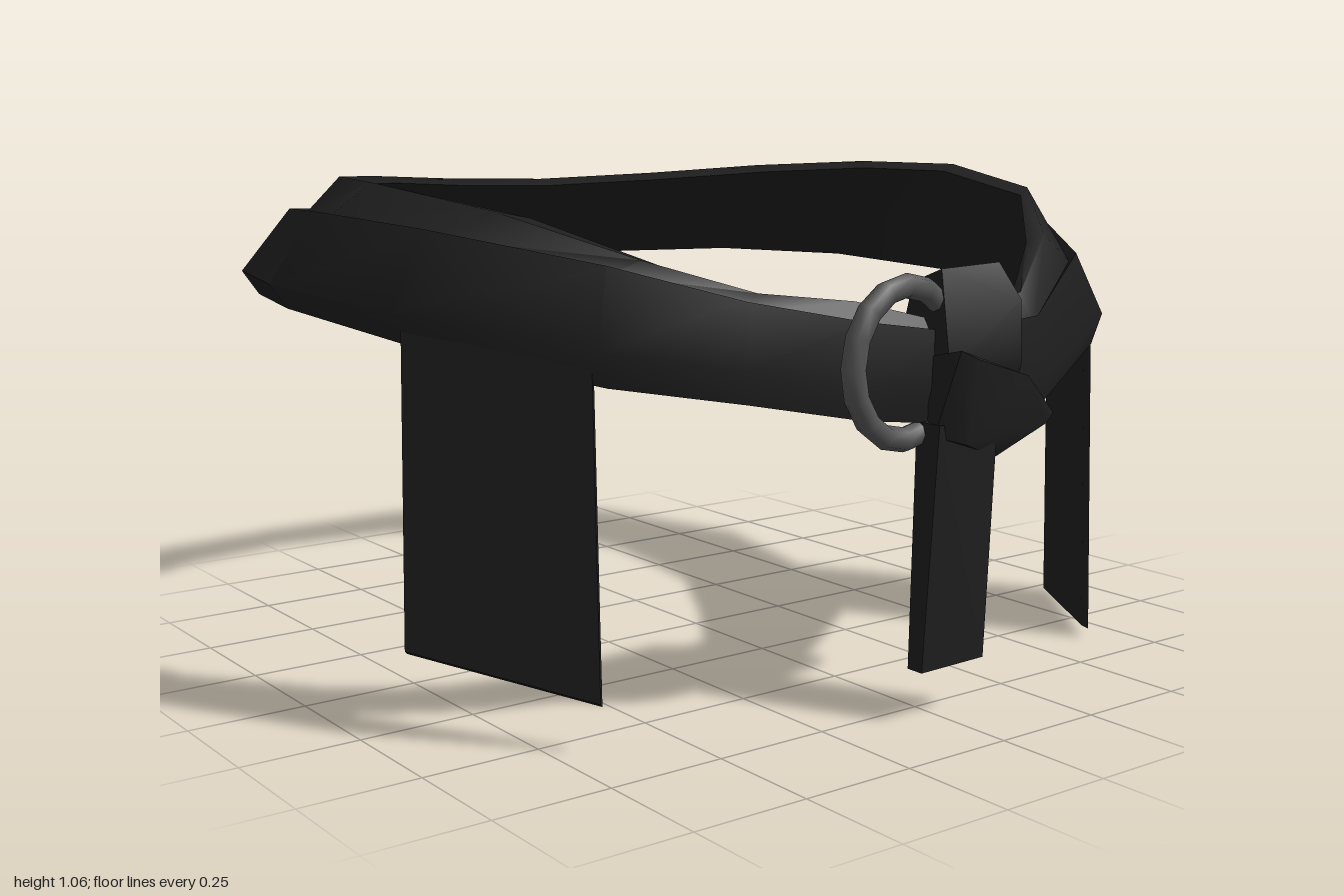
import * as THREE from 'three';
import { toCreasedNormals } from 'three/addons/utils/BufferGeometryUtils.js';
import { ConvexGeometry } from 'three/addons/geometries/ConvexGeometry.js';

const mat = (name, color) => {
  const m = new THREE.MeshStandardMaterial({ color });
  m.name = name;
  return m;
};

// Solid wrapped around a handful of corner points
function hull(name, points, material) {
  const geo = new ConvexGeometry(points.map(p => new THREE.Vector3(...p)));
  const mesh = new THREE.Mesh(toCreasedNormals(geo, 0.8), material);
  mesh.name = name;
  return mesh;
}

// Thin hanging strip: four corners, given thickness along a direction
function strip(name, corners, offset, material) {
  const back = corners.map(c => c.map((v, i) => v + offset[i]));
  return hull(name, [...corners, ...back], material);
}

// Belt stations, clockwise from the front: outer rim and fold as [x, y, z], inner rim as [x, z]
const rightStations = [
  [[0.04, 0.66, 0.80], [0.04, 0.77, 0.78], [0.04, 0.74]],
  [[-0.16, 0.68, 0.775], [-0.16, 0.80, 0.755], [-0.14, 0.69]],
  [[-0.42, 0.73, 0.72], [-0.40, 0.85, 0.70], [-0.33, 0.66]],
  [[-0.67, 0.77, 0.60], [-0.62, 0.92, 0.56], [-0.50, 0.57]],
  [[-0.93, 0.83, 0.30], [-0.83, 0.98, 0.27], [-0.67, 0.37]],
  [[-1.00, 0.86, -0.10], [-0.90, 1.00, -0.04], [-0.77, 0.04]],
  [[-0.93, 0.86, -0.40], [-0.83, 0.99, -0.30], [-0.72, -0.22]],
  [[-0.70, 0.86, -0.67], [-0.63, 0.97, -0.53], [-0.55, -0.39]],
  [[-0.34, 0.86, -0.85], [-0.31, 0.96, -0.69], [-0.29, -0.54]],
];
const leftStations = [
  [[0.00, 0.86, -0.88], [0.00, 0.96, -0.72], [-0.02, -0.60]],
  [[0.36, 0.86, -0.87], [0.36, 0.96, -0.71], [0.28, -0.55]],
  [[0.66, 0.86, -0.78], [0.60, 0.96, -0.58], [0.53, -0.41]],
  [[0.88, 0.85, -0.53], [0.82, 0.96, -0.36], [0.70, -0.21]],
  [[1.00, 0.82, -0.10], [0.91, 0.96, -0.05], [0.74, 0.04]],
  [[0.90, 0.80, 0.28], [0.83, 0.94, 0.27], [0.67, 0.37]],
  [[0.68, 0.75, 0.62], [0.62, 0.88, 0.57], [0.48, 0.57]],
  [[0.32, 0.67, 0.79], [0.31, 0.78, 0.76], [0.30, 0.70]],
  [[0.08, 0.66, 0.80], [0.08, 0.77, 0.79], [0.08, 0.73]],
];

// Height of the inner rim: highest at the hips, dipping steeply to the front
function rimHeight(z) {
  const d = z + 0.15;
  return 1.065 - (d > 0 ? 0.4 * d ** 3.33 : 0.2 * d * d);
}

// Lofts the folded cross-section along the stations
function beltGeometry(stations) {
  const pos = [], idx = [], n = 6;
  for (const [o, f, [ix, iz]] of stations) {
    const outer = new THREE.Vector3(...o), fold = new THREE.Vector3(...f);
    const inner = new THREE.Vector3(ix, rimHeight(iz), iz);
    // Lip of the outer layer, and the groove where the inner layer emerges
    const lip = fold.clone().lerp(outer, 0.2);
    lip.y = fold.y + 0.006;
    const groove = fold.clone();
    groove.y -= 0.012;
    const shoulder = fold.clone().lerp(inner, 0.6);
    shoulder.y = inner.y;
    inner.y -= 0.015;
    const under = outer.clone().lerp(inner, 0.13);
    under.y = outer.y - 0.05 - 0.018 * THREE.MathUtils.smoothstep(outer.z, 0, 0.5);
    for (const p of [outer, lip, groove, shoulder, inner, under]) pos.push(p.x, p.y, p.z);
  }
  const last = stations.length - 1;
  for (let i = 0; i < last; i++) {
    for (let j = 0; j < n; j++) {
      const a = i * n + j, b = i * n + (j + 1) % n;
      idx.push(a, b, a + n, b, b + n, a + n);
    }
  }
  // End caps
  for (let j = 0; j < n - 2; j++) {
    idx.push(n - 1, j + 1, j);
    idx.push(last * n + n - 1, last * n + j, last * n + j + 1);
  }
  const geo = new THREE.BufferGeometry();
  geo.setAttribute('position', new THREE.Float32BufferAttribute(pos, 3));
  geo.setIndex(idx);
  return toCreasedNormals(geo, 1.1);
}

export function createModel() {
  const group = new THREE.Group();
  const leather = mat('black leather', 0x1e1e1e);
  const metal = mat('dark metal', 0x555555);

  // Folded belt loop
  const belt = new THREE.Mesh(beltGeometry([...rightStations, ...leftStations]), leather);
  belt.name = 'belt';
  group.add(belt);

  // Metal ring
  const ring = new THREE.Mesh(new THREE.TorusGeometry(0.152, 0.025, 8, 16), metal);
  ring.name = 'ring';
  ring.scale.x = 0.95;
  ring.rotation.y = 0.08;
  ring.position.set(-0.07, 0.72, 0.775);
  group.add(ring);

  // Strap looped upright over the belt
  group.add(hull('knotLoop', [
    [0.02, 0.90, 0.78], [0.18, 0.905, 0.78], [0.21, 0.83, 0.815], [0.20, 0.70, 0.83], [0.00, 0.70, 0.83],
    [0.01, 0.87, 0.71], [0.20, 0.88, 0.71], [0.21, 0.82, 0.69], [0.00, 0.80, 0.70],
    [0.09, 0.57, 0.70], [0.30, 0.60, 0.70], [0.18, 0.53, 0.76],
  ], leather));

  // Strap crossing diagonally in front
  group.add(hull('knotWrap', [
    [-0.01, 0.75, 0.87], [0.03, 0.73, 0.88], [0.20, 0.68, 0.85], [0.33, 0.585, 0.80],
    [0.29, 0.57, 0.82], [0.16, 0.51, 0.80], [0.02, 0.56, 0.86], [-0.03, 0.575, 0.82],
    [0.00, 0.72, 0.74], [0.30, 0.63, 0.71], [0.17, 0.51, 0.75], [0.00, 0.57, 0.76],
  ], leather));

  // Loose end hanging from the knot
  group.add(hull('hangingEnd', [
    [-0.03, 0.60, 0.835], [0.13, 0.60, 0.835], [-0.03, 0.60, 0.77], [0.13, 0.60, 0.77],
    [-0.065, 0.105, 0.835], [0.105, 0.108, 0.835], [-0.065, 0.105, 0.795], [0.105, 0.108, 0.795],
  ], leather));

  // Wide side flaps, tucked up inside the belt
  group.add(strip('leftFlap', [
    [0.66, 0.75, 0.605], [0.885, 0.80, 0.285], [0.89, 0.0, 0.30], [0.66, 0.02, 0.63],
  ], [0, 0.003, -0.02], leather));
  group.add(strip('rightFlap', [
    [-0.672, 0.77, 0.58], [-0.915, 0.83, 0.30], [-0.93, 0.18, 0.31], [-0.672, 0.10, 0.60],
  ], [0.012, -0.01, -0.012], leather));

  return group;
}
